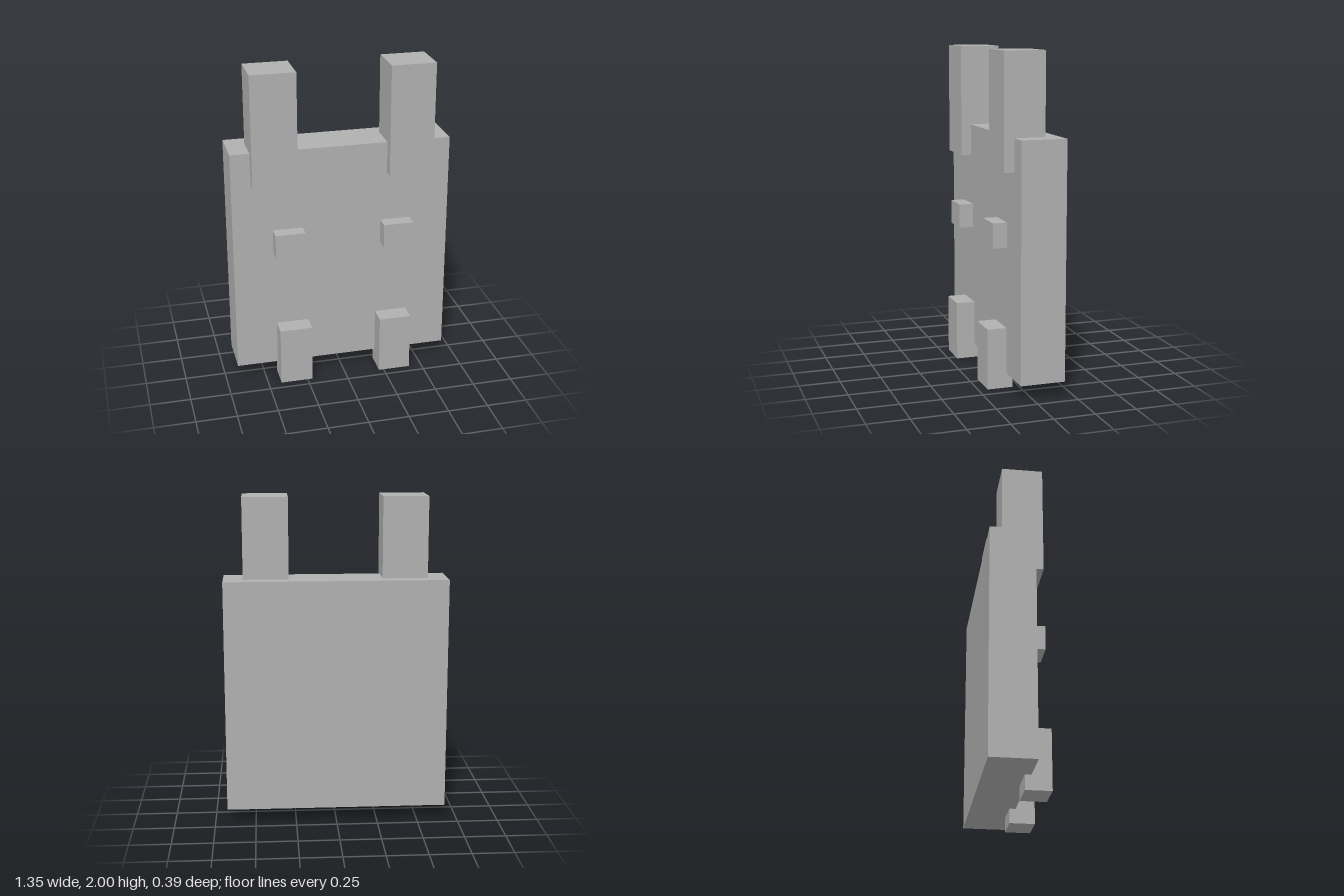
import * as THREE from 'three';

export function createModel() {
  const model = new THREE.Group();
  const grey = new THREE.MeshStandardMaterial({ color: 0xb0b0b0 });
  grey.name = 'grey';

  // Box spanning two opposite corners
  function block(name, [x0, y0, z0], [x1, y1, z1]) {
    const mesh = new THREE.Mesh(new THREE.BoxGeometry(x1 - x0, y1 - y0, z1 - z0), grey);
    mesh.position.set((x0 + x1) / 2, (y0 + y1) / 2, (z0 + z1) / 2);
    mesh.name = name;
    model.add(mesh);
  }

  // Mirrored pair, given by the left (+x) one
  function pair(name, [x0, y0, z0], [x1, y1, z1]) {
    block('left' + name, [x0, y0, z0], [x1, y1, z1]);
    block('right' + name, [-x1, y0, z0], [-x0, y1, z1]);
  }

  block('body', [-0.675, 0.09, -0.195], [0.675, 1.51, 0.078]);
  pair('Ear', [0.282, 1.315, -0.108], [0.556, 2, 0.14]);
  pair('Arm', [0.245, 0.855, 0.03], [0.43, 1.005, 0.166]);
  pair('Leg', [0.219, 0, 0.04], [0.419, 0.368, 0.195]);

  return model;
}
